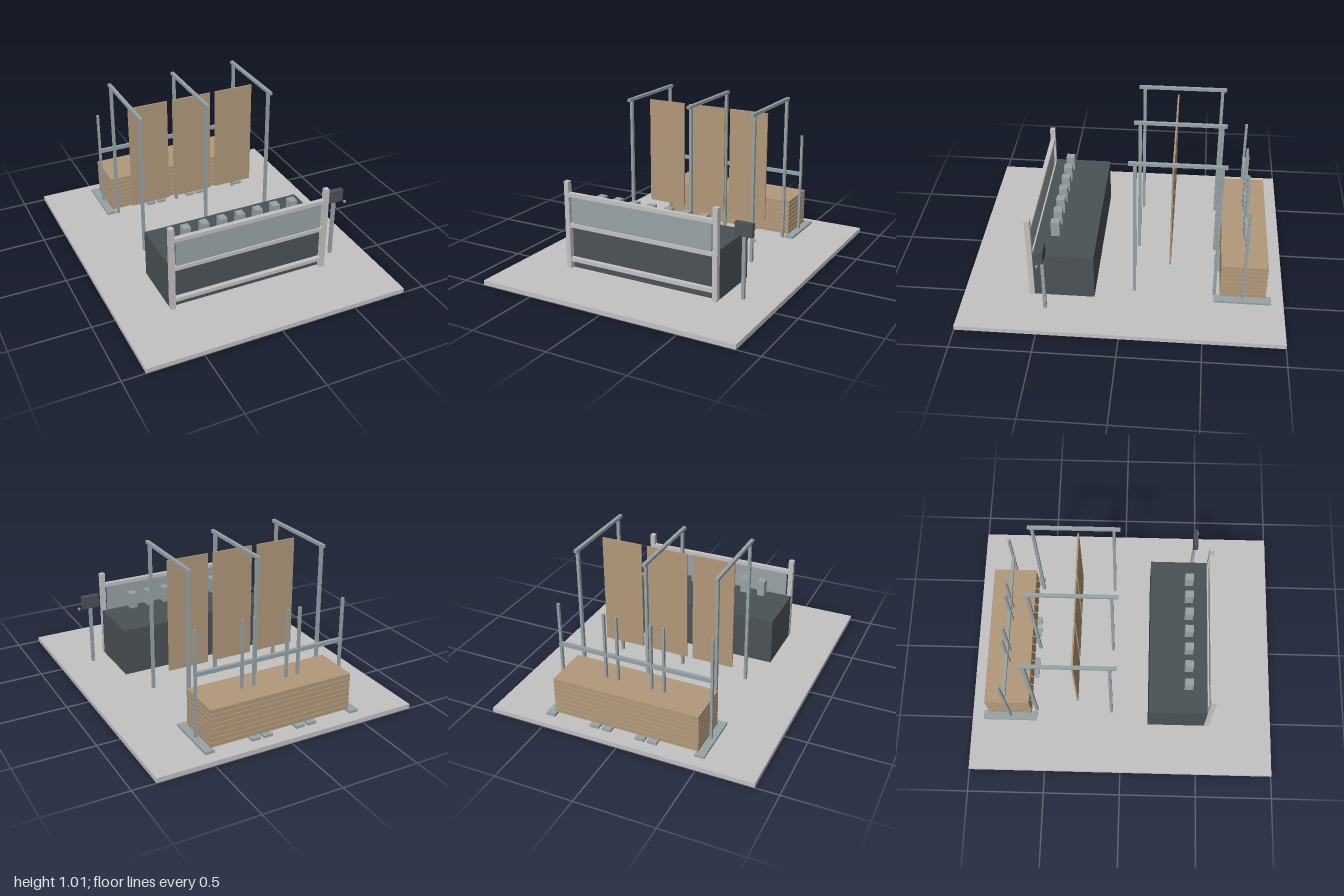
import * as THREE from 'three';

const paint = (name, color) => Object.assign(new THREE.MeshStandardMaterial({ color }), { name });

export function createModel() {
  const concrete = paint('light grey', 0xc3c3c3);
  const steel = paint('blue grey steel', 0x98a4a7);
  const dark = paint('dark grey', 0x4b5256);
  const wood = paint('wood', 0xb2997a);

  const model = new THREE.Group();
  model.name = 'panelWorkstation';
  const group = (name) => {
    const g = new THREE.Group();
    g.name = name;
    model.add(g);
    return g;
  };
  // Box given by its minimum and maximum along each axis
  const box = (parent, name, mat, [x0, x1], [y0, y1], [z0, z1]) => {
    const mesh = new THREE.Mesh(new THREE.BoxGeometry(x1 - x0, y1 - y0, z1 - z0), mat);
    mesh.position.set((x0 + x1) / 2, (y0 + y1) / 2, (z0 + z1) / 2);
    mesh.name = name;
    parent.add(mesh);
  };
  const around = (c, w) => [c - w / 2, c + w / 2];

  // Floor slab
  const FLOOR = 0.03;
  box(model, 'floorSlab', concrete, [-0.855, 0.855], [0, FLOOR], [-1, 1]);

  // Machine body with a row of heads hovering above it
  const machine = group('machine');
  box(machine, 'machineBody', dark, [-0.528, 0.528], [FLOOR, 0.342], [0.178, 0.554]);
  for (let i = -3; i <= 3; i++) {
    box(machine, 'toolHead', steel, around(i * 0.12, 0.048), [0.386, 0.488], [0.402, 0.456]);
  }

  // Guard frame in front of the machine
  const guard = group('guardFrame');
  for (const s of [-1, 1]) {
    box(guard, 'guardPost', concrete, around(s * 0.514, 0.032), [FLOOR, 0.602], [0.555, 0.588]);
  }
  for (const y of [0.092, 0.318, 0.517]) {
    box(guard, 'guardRail', concrete, [-0.498, 0.498], around(y, 0.025), [0.557, 0.586]);
  }
  box(guard, 'guardPanel', steel, [-0.485, 0.485], [0.33, 0.505], [0.567, 0.576]);

  // Control stand
  const control = group('controlStand');
  box(control, 'controlPost', steel, around(0.643, 0.02), [FLOOR, 0.43], around(0.472, 0.02));
  box(control, 'controlScreen', dark, [0.586, 0.699], [0.421, 0.504], [0.457, 0.488]);
  box(control, 'controlHandle', wood, [0.705, 0.72], [0.407, 0.421], [0.486, 0.497]);

  // Portal frames, with a hanging board between and beside them
  const portals = group('portalFrames');
  for (const x of [-0.443, 0, 0.443]) {
    box(portals, 'portalBeam', steel, around(x, 0.021), [0.987, 1.006], [-0.597, -0.028]);
    for (const z of [-0.067, -0.57]) {
      box(portals, 'portalPost', steel, around(x, 0.018), [FLOOR, 0.99], around(z, 0.02));
    }
  }
  for (const x of [-0.302, 0, 0.302]) {
    box(portals, 'hangingBoard', wood, around(x, 0.264), [0.247, 0.958], around(-0.286, 0.01));
  }

  // Storage rack: foot plates, uprights and a cross bar
  const rack = group('storageRack');
  for (const x of [-0.49, -0.19, -0.11, 0.11, 0.19, 0.49]) {
    box(rack, 'rackFoot', steel, around(x, 0.06), [FLOOR, 0.045], [-0.923, -0.567]);
    box(rack, 'rackUpright', steel, around(x, 0.015), [FLOOR, 0.716], around(-0.745, 0.017));
  }
  box(rack, 'rackCrossBar', steel, [-0.499, 0.499], around(0.444, 0.024), around(-0.745, 0.02));

  // Stack of boards, slightly spaced apart
  const stack = group('boardStack');
  for (let i = 0; i < 8; i++) {
    const y = 0.045 + i * 0.0303;
    box(stack, 'stackedBoard', wood, [-0.47, 0.47], [y, y + 0.0265], [-0.89, -0.602]);
  }

  return model;
}
